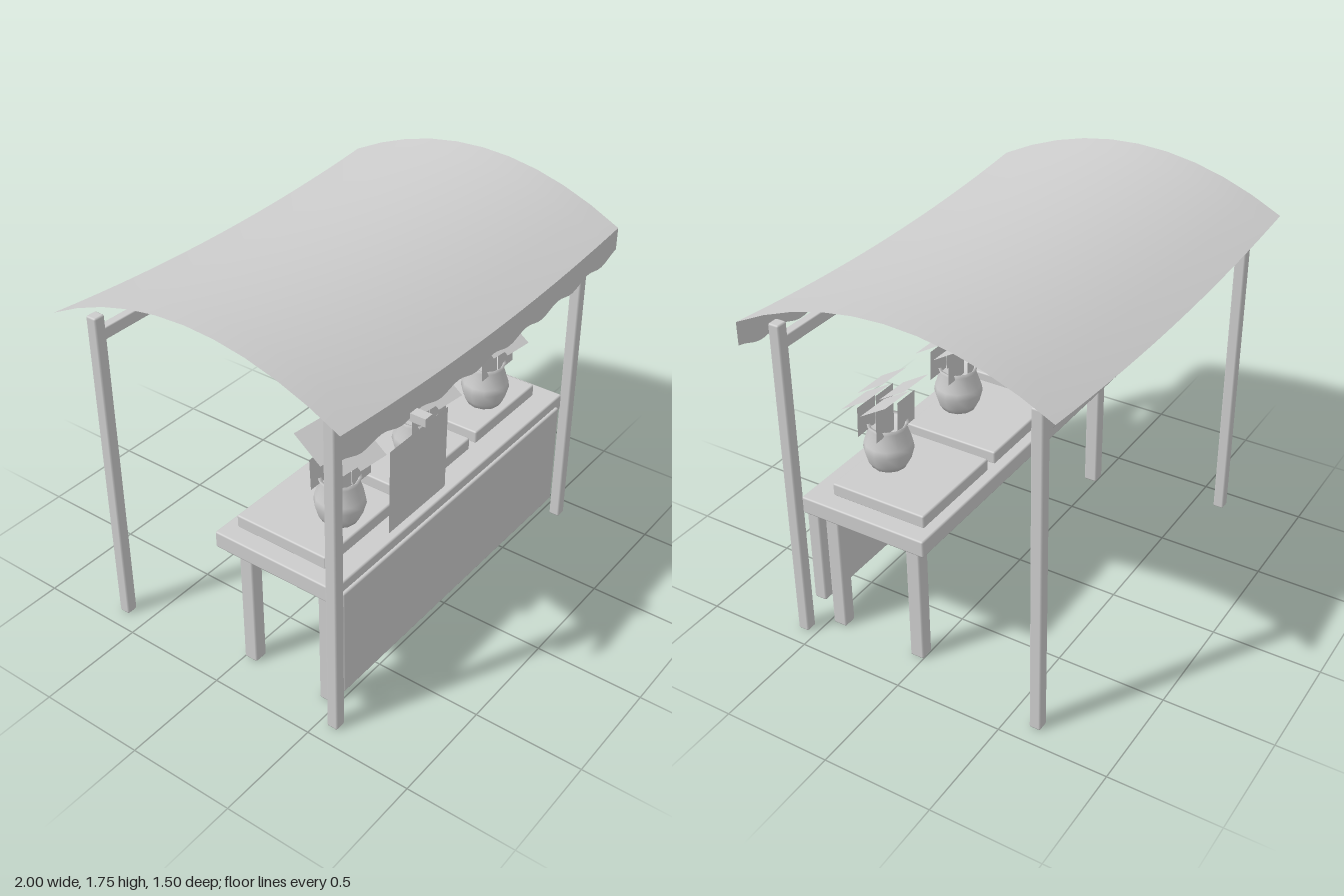
import * as THREE from 'three';
import { RoundedBoxGeometry } from 'three/addons/geometries/RoundedBoxGeometry.js';

export function createModel() {
  const stall = new THREE.Group();
  stall.name = 'marketStall';
  const grey = new THREE.MeshStandardMaterial({ color: 0xcccccc, side: THREE.DoubleSide });
  grey.name = 'plain grey';

  const add = (name, geometry, x = 0, y = 0, z = 0, parent = stall) => {
    const mesh = new THREE.Mesh(geometry, grey);
    mesh.name = name;
    mesh.position.set(x, y, z);
    parent.add(mesh);
    return mesh;
  };
  // Bevelled box given by its limits on each axis
  const block = (name, x0, x1, y0, y1, z0, z1, r = 0.008) =>
    add(name, new RoundedBoxGeometry(x1 - x0, y1 - y0, z1 - z0, 1, r),
      (x0 + x1) / 2, (y0 + y1) / 2, (z0 + z1) / 2);

  // Corner posts and table legs, mirrored left and right
  for (const s of [-1, 1]) {
    for (const z of [0.565, -0.625])
      block('post', s * 0.895 - 0.027, s * 0.895 + 0.027, 0, 1.54, z - 0.026, z + 0.026);
    for (const z of [0.447, 0.032])
      block('tableLeg', s * 0.778 - 0.033, s * 0.778 + 0.033, 0, 0.63, z - 0.033, z + 0.033);
  }

  // Cross beams and sign bracket
  for (const z of [0.565, -0.625])
    block('crossBeam', -0.88, 0.88, 1.42, 1.475, z - 0.02, z + 0.02, 0.005);
  add('signBracket', new THREE.BoxGeometry(0.045, 0.036, 0.2), -0.553, 1.408, 0.65);
  add('signBoard', new THREE.PlaneGeometry(0.377, 0.377), -0.553, 1.167, 0.71);

  // Table, front panel and display trays
  block('tableTop', -0.875, 0.875, 0.62, 0.7, -0.07, 0.545);
  block('frontPanel', -0.83, 0.83, 0.127, 0.655, 0.5, 0.56);
  for (const x of [-0.545, 0, 0.545])
    block('displayTray', x - 0.247, x + 0.247, 0.695, 0.757, -0.02, 0.44);

  // Canopy arched front to back and sagging towards the middle
  const zFront = 0.68, zBack = -0.745;
  const roofY = (x, z) => 1.75 - 0.38 * (z + 0.033) ** 2 - 0.05 * (1 - x * x);
  const canopy = new THREE.PlaneGeometry(2, zFront - zBack, 16, 10);
  canopy.rotateX(-Math.PI / 2);
  canopy.translate(0, 0, (zFront + zBack) / 2);
  const cp = canopy.attributes.position;
  for (let i = 0; i < cp.count; i++) cp.setY(i, roofY(cp.getX(i), cp.getZ(i)));
  canopy.computeVertexNormals();
  add('canopy', canopy);

  // Scalloped valance along the front edge
  const valance = new THREE.PlaneGeometry(2, 1, 64, 1);
  const vp = valance.attributes.position;
  for (let i = 0; i < vp.count; i++) {
    const x = vp.getX(i);
    const hem = 1.39 + 0.05 * x * x + 0.012 * Math.cos(x * Math.PI * 8);
    vp.setY(i, vp.getY(i) > 0 ? roofY(x, zFront) : hem);
  }
  add('valance', valance, 0, 0, zFront);

  // Vases, each holding flat flower cards
  const profile = [[0, 0], [0.078, 0], [0.095, 0.03], [0.11, 0.085], [0.105, 0.115],
    [0.082, 0.185], [0.092, 0.208], [0.075, 0.2], [0.07, 0.18], [0, 0.18]]
    .map(([r, y]) => new THREE.Vector2(r, y));
  const vaseShape = new THREE.LatheGeometry(profile, 12);
  const stemCard = new THREE.PlaneGeometry(0.125, 0.145);
  const headCard = new THREE.PlaneGeometry(0.16, 0.17);
  const flowers = [[-0.045, 0.365, -0.06], [0.058, 0.33, -0.035],
    [-0.043, 0.365, 0.05], [0.058, 0.335, 0.06]]; // head x, y, z from the vase base

  for (const x of [-0.545, 0, 0.54]) {
    const vase = new THREE.Group();
    vase.name = 'flowerVase';
    vase.position.set(x, 0.765, 0.325);
    stall.add(vase);
    add('vase', vaseShape, 0, -0.008, 0, vase);
    for (const [hx, hy, hz] of flowers) {
      add('flowerHead', headCard, hx, hy, hz, vase).rotation.set(-1, 0, -0.08);
      add('flowerStem', stemCard, hx > 0 ? 0.063 : -0.053, 0.243, hz, vase).rotation.x = -0.04;
    }
  }
  return stall;
}
